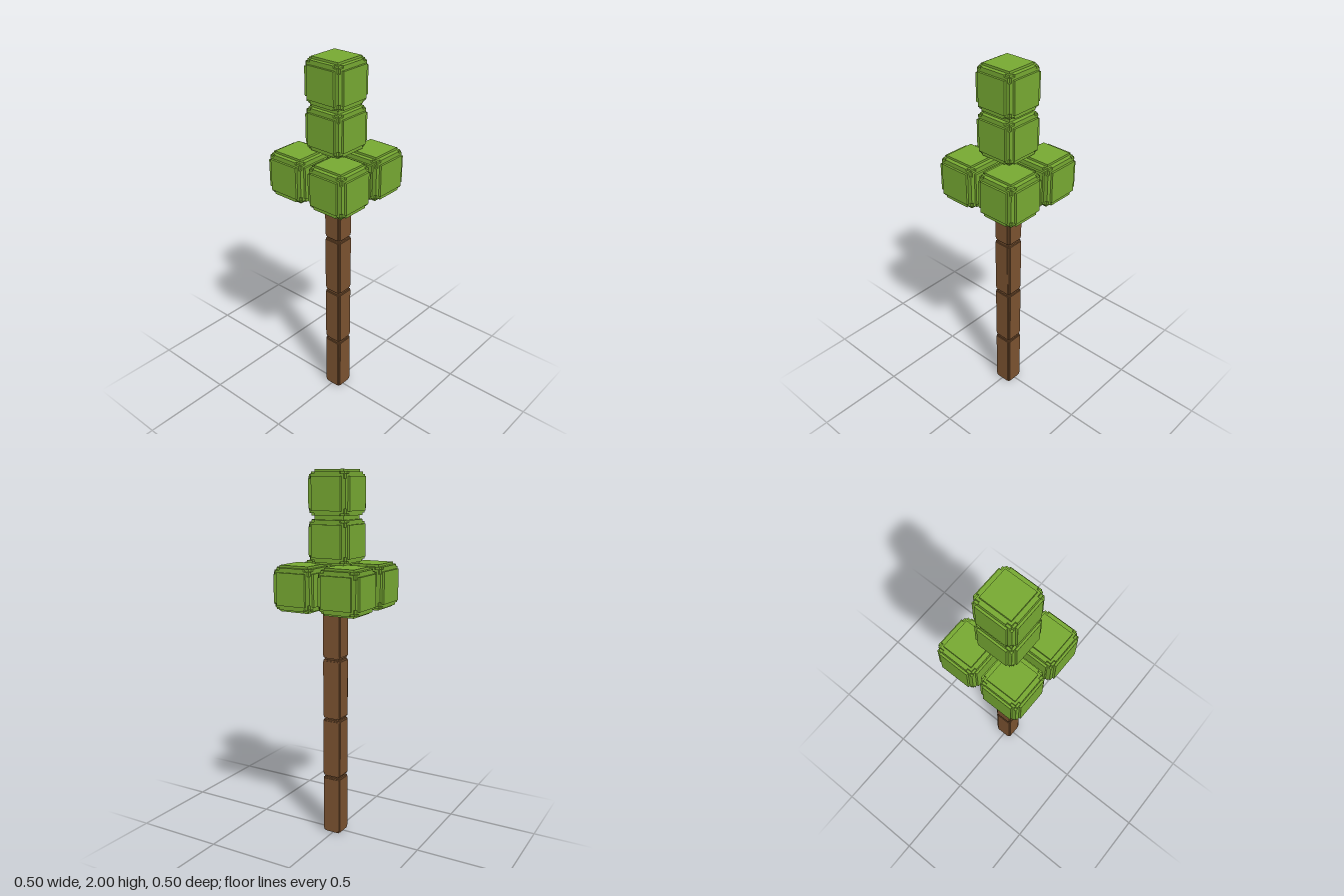
import * as THREE from 'three';
import { mergeGeometries } from 'three/addons/utils/BufferGeometryUtils.js';

// Block whose edges are rounded off in small square steps of size b
function steppedBlock(hx, hy, hz, b) {
  const insets = [
    [0, 3, 3], [3, 0, 3], [3, 3, 0], // outer face plates
    [1, 1, 4], [1, 4, 1], [4, 1, 1], // edge steps
    [1, 2, 2], [2, 1, 2], [2, 2, 1], // corner steps
  ];
  return mergeGeometries(insets.map(([i, j, k]) =>
    new THREE.BoxGeometry(2 * (hx - i * b), 2 * (hy - j * b), 2 * (hz - k * b))));
}

export function createModel() {
  const model = new THREE.Group();
  model.name = 'blockTree';

  const bark = new THREE.MeshStandardMaterial({ color: 0x7a5230 });
  bark.name = 'barkBrown';
  const leaf = new THREE.MeshStandardMaterial({ color: 0x76a832 });
  leaf.name = 'leafGreen';

  const add = (name, geometry, material, x, y, z) => {
    const mesh = new THREE.Mesh(geometry, material);
    mesh.name = name;
    mesh.position.set(x, y, z);
    model.add(mesh);
  };

  // Trunk: four stacked logs, set slightly off centre
  const segment = 0.338;
  const log = steppedBlock(0.053, segment / 2, 0.053, 0.004);
  for (let i = 0; i < 4; i++) {
    add(`trunkSegment${i + 1}`, log, bark, 0.007, segment * (i + 0.5), 0.007);
  }

  // Foliage: a ring of four blocks with two more stacked above
  const foliage = steppedBlock(0.12, 0.12, 0.12, 0.0116);
  for (const x of [-1, 1]) {
    for (const z of [-1, 1]) {
      add(`lowerFoliage${z > 0 ? 'Front' : 'Back'}${x > 0 ? 'Left' : 'Right'}`,
        foliage, leaf, x * 0.1325, 1.403, z * 0.1325);
    }
  }
  add('middleFoliage', foliage, leaf, 0, 1.642, 0);
  add('topFoliage', foliage, leaf, 0, 1.88, 0);

  return model;
}
